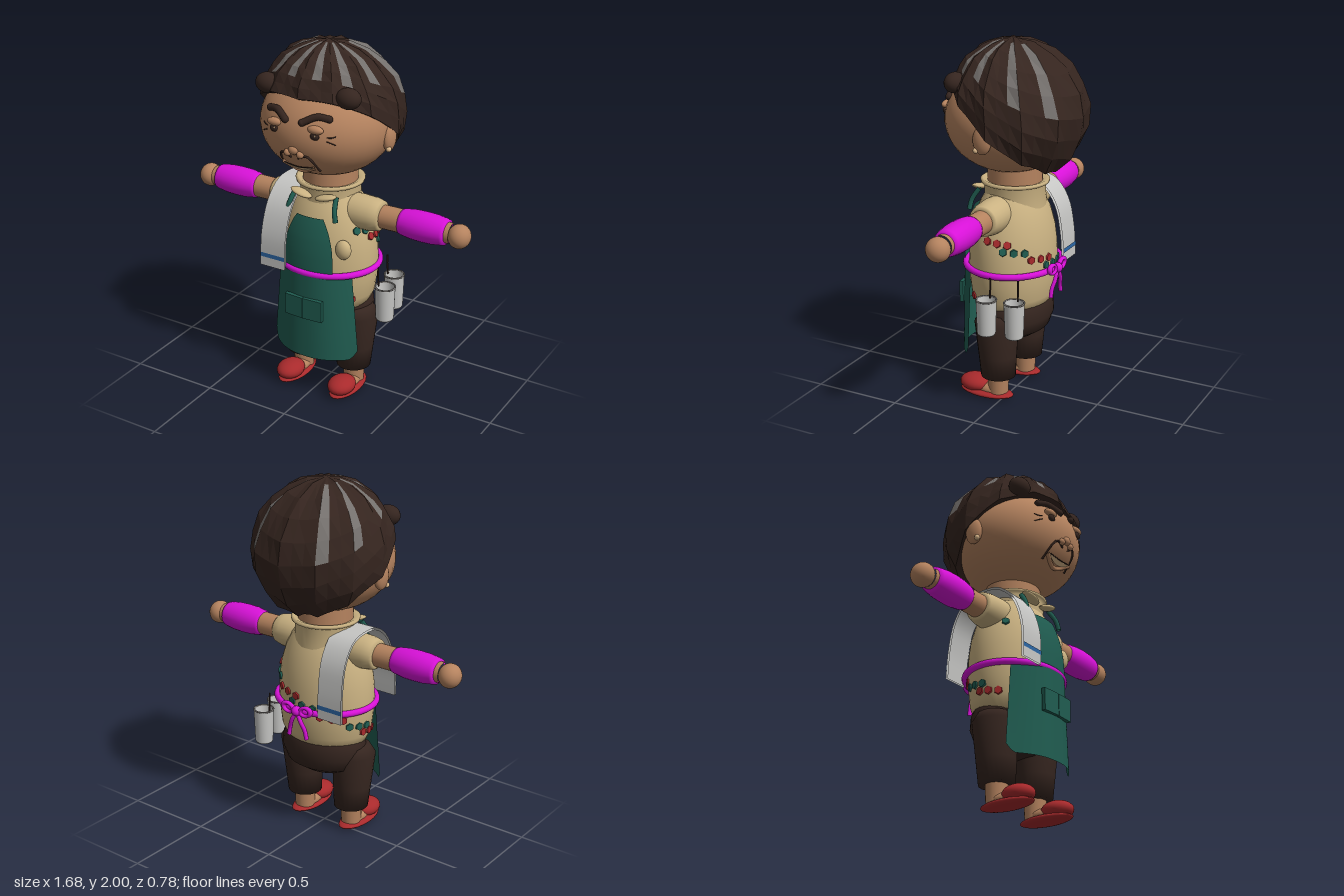
import * as THREE from 'three';

const mat = (name, color, side = THREE.FrontSide) => {
  const m = new THREE.MeshStandardMaterial({ color, side });
  m.name = name;
  return m;
};
const V = (x, y, z) => new THREE.Vector3(x, y, z);

// Torso radius by height, shared by shirt, bib and dots
const TORSO = [[0.23, 0.53], [0.262, 0.6], [0.275, 0.7], [0.28, 0.78], [0.275, 0.88], [0.262, 0.97], [0.235, 1.06], [0.2, 1.13], [0.165, 1.18]];
const DEPTH = 0.83, ZC = 0.02;
function torsoR(y) {
  for (let i = 1; i < TORSO.length; i++) {
    const [r0, y0] = TORSO[i - 1], [r1, y1] = TORSO[i];
    if (y <= y1) return r0 + (r1 - r0) * (y - y0) / (y1 - y0);
  }
  return 0.165;
}
const bodyZ = (x, y, out) => ZC + DEPTH * Math.sqrt(Math.max(0, (torsoR(y) + out) ** 2 - x * x));
const faceZ = (x, y, out = 0) => 0.03 + 0.355 * Math.sqrt(Math.max(0, 1 - (x / 0.36) ** 2 - ((y - 1.57) / 0.285) ** 2)) + out;

// Curved sheet from a rule f(u, v), u and v in 0..1
function sheet(f, nu, nv) {
  const g = new THREE.PlaneGeometry(1, 1, nu, nv), p = g.attributes.position;
  for (let i = 0; i < p.count; i++) p.setXYZ(i, ...f(p.getX(i) + 0.5, p.getY(i) + 0.5));
  g.computeVertexNormals();
  return g;
}

// Lumpy hair cap: rows run from the crown to a slanted hairline; some columns are grey
function hairGeometry() {
  const N = 36, ROWS = 8, greyCols = [1, 4, 7, 11, 14, 21, 24, 28, 31, 34];
  const point = (i, j) => {
    const a = (i % N) / N * Math.PI * 2;
    const B = 0.306 * Math.cos(a), c = 0.137 - 0.06 * Math.abs(Math.sin(a));
    const pMax = Math.acos(-c / Math.hypot(0.38, B)) - Math.atan2(B, 0.38);
    const p = pMax * Math.min(j / ROWS, 1);
    let k = 1 + Math.min(1, p * 1.5) * (0.025 * Math.cos(a * 12) + 0.014 * Math.sin((i % N) * 7.3 + j * 2.1));
    if (j > ROWS) k *= 0.86; // rim turned in to the head
    return [0.385 * k * Math.sin(p) * Math.sin(a), 1.62 + 0.38 * k * Math.cos(p), -0.02 + (0.36 * k * Math.sin(p)) * Math.cos(a) + 0.04 * Math.max(0, Math.cos(p))];
  };
  const dark = [], grey = [];
  for (let i = 0; i < N; i++) for (let j = 0; j <= ROWS; j++) {
    const a = point(i, j), b = point(i, j + 1), c = point(i + 1, j + 1), d = point(i + 1, j);
    const isGrey = greyCols.includes(i) && j > 0 && j < (i < 6 || i > 29 ? 6 : 5);
    (isGrey ? grey : dark).push(...a, ...b, ...c, ...a, ...c, ...d);
  }
  const g = new THREE.BufferGeometry();
  g.setAttribute('position', new THREE.Float32BufferAttribute([...dark, ...grey], 3));
  g.addGroup(0, dark.length / 3, 0);
  g.addGroup(dark.length / 3, grey.length / 3, 1);
  g.computeVertexNormals();
  return g;
}

export function createModel() {
  const root = new THREE.Group();
  root.name = 'figure';
  const D = THREE.DoubleSide;
  const skin = mat('skin', 0xb5835f), tan = mat('shirtTan', 0xcab282, D), teal = mat('apronTeal', 0x205d51, D);
  const dark = mat('darkBrown', 0x35251f, D), grey = mat('hairGrey', 0x74706d, D), pink = mat('magenta', 0xd812d8);
  const red = mat('red', 0xa82a2c), white = mat('paleGrey', 0xc6c6c4, D), blue = mat('blue', 0x2c66a4, D), cream = mat('cream', 0xdcb98c);

  const add = (name, geo, m, x = 0, y = 0, z = 0, parent = root) => {
    const mesh = new THREE.Mesh(geo, m);
    mesh.name = name;
    mesh.position.set(x, y, z);
    parent.add(mesh);
    return mesh;
  };
  const ball = (name, m, x, y, z, rx, ry = rx, rz = rx, seg = 20) => {
    const b = add(name, new THREE.SphereGeometry(1, seg, Math.ceil(seg * 0.7)), m, x, y, z);
    b.scale.set(rx, ry, rz);
    return b;
  };
  const lathe = (pts, seg = 32) => new THREE.LatheGeometry(pts.map(p => new THREE.Vector2(...p)), seg);
  const tube = (name, m, pts, r) =>
    add(name, new THREE.TubeGeometry(new THREE.CatmullRomCurve3(pts.map(p => V(...p))), 12, r, 8), m);
  const faceTube = (name, m, pts, r, out = 0) => tube(name, m, pts.map(([x, y]) => [x, y, faceZ(x, y, out)]), r);

  // Head and hair
  ball('head', skin, 0, 1.57, 0.03, 0.36, 0.285, 0.355, 40);
  add('neck', new THREE.CylinderGeometry(0.15, 0.15, 0.18, 28), skin, 0, 1.26, 0.01);
  add('hair', hairGeometry(), [dark, grey]);

  // Face
  ball('noseTip', skin, 0, 1.51, 0.37, 0.03, 0.025, 0.022);
  tube('smileLip', skin, [[-0.1, 1.415], [0, 1.37], [0.1, 1.415]].map(([x, y]) => [x, y, faceZ(x, y, 0.004)]), 0.012);
  add('teeth', sheet((u, v) => {
    const x = (u - 0.5) * 0.19, k = 1 - (2 * u - 1) ** 2, y = 1.415 - 0.012 * k - (1 - v) * 0.022 * k;
    return [x, y, faceZ(x, y, 0.012)];
  }, 16, 2), cream);
  faceTube('mouthLine', dark, [[-0.085, 1.413], [0, 1.404], [0.085, 1.413]], 0.003, 0.012);
  for (const s of [-1, 1]) {
    ball('hairBun', dark, s * 0.24, 1.785, 0.235, 0.068, 0.055, 0.055);
    ball('ear', skin, s * 0.355, 1.53, 0.015, 0.03, 0.075, 0.052);
    ball('earring', cream, s * 0.368, 1.478, 0.045, 0.015);
    const brow = faceTube('eyebrow', dark, [[s * 0.175, 1.688], [s * 0.12, 1.697], [s * 0.05, 1.665]], 0.019, 0.008);
    brow.renderOrder = 0;
    ball('browEnd', dark, s * 0.175, 1.688, faceZ(0.175, 1.688, 0.008), 0.019);
    ball('browEnd', dark, s * 0.05, 1.665, faceZ(0.05, 1.665, 0.008), 0.019);
    ball('eyelid', skin, s * 0.12, 1.635, faceZ(0.12, 1.635), 0.046, 0.022, 0.024);
    ball('eye', dark, s * 0.12, 1.603, faceZ(0.12, 1.603), 0.026, 0.02, 0.014);
    ball('eyeGlint', cream, s * 0.12 + 0.008, 1.609, faceZ(0.12, 1.609, 0.012), 0.005);
    ball('nostril', skin, s * 0.038, 1.49, faceZ(0.038, 1.49), 0.02);
    for (let k = 0; k < 2; k++)
      faceTube('eyeWrinkle', dark, [[s * 0.175, 1.6 - k * 0.02], [s * 0.195, 1.598 - k * 0.028], [s * 0.215, 1.604 - k * 0.045]], 0.003, 0.001);
    faceTube('moustache', dark, [[s * 0.02, 1.465], [s * 0.07, 1.485], [s * 0.092, 1.46], [s * 0.103, 1.385]], 0.006, 0.002);
  }

  // Shirt
  const shirt = add('shirt', lathe([[0.001, 0.52], ...TORSO], 40), tan, 0, 0, ZC);
  shirt.scale.z = DEPTH;
  add('collar', lathe([[0.17, 1.1], [0.165, 1.215], [0.185, 1.225], [0.188, 1.238], [0.175, 1.245], [0.15, 1.235]]), tan, 0, 0, 0.01);
  for (const s of [-1, 1]) {
    const flap = ball('collarFlap', tan, s * 0.075, 1.19, 0.185, 0.065, 0.016, 0.035);
    flap.rotation.z = s * 0.25;
  }
  ball('chestPocket', tan, 0.19, 0.92, 0.195, 0.045, 0.055, 0.035);

  // Dots around the sides and back of the shirt
  for (let i = 0; i < 26; i++) {
    const a = 0.95 + ((i * 0.618) % 1) * (Math.PI * 2 - 1.9), y = 0.61 + ((i * 0.377) % 1) * 0.44;
    const r = torsoR(y), x = r * Math.sin(a), z = ZC + r * DEPTH * Math.cos(a);
    const dot = add('shirtDot', new THREE.CylinderGeometry(0.022, 0.024, 0.016, 6).rotateX(Math.PI / 2), i % 2 ? teal : red, x, y, z);
    dot.lookAt(x + Math.sin(a) * DEPTH, y + (y > 0.9 ? 0.35 : 0), z + Math.cos(a));
  }

  // Arms, built along +x and turned round for the other side
  for (const s of [-1, 1]) {
    const arm = new THREE.Group();
    arm.name = s > 0 ? 'leftArm' : 'rightArm';
    arm.position.set(0, 1.085, 0.03);
    arm.rotation.y = s > 0 ? 0 : Math.PI;
    root.add(arm);
    const along = (name, pts, m) => add(name, lathe(pts, 24).rotateZ(-Math.PI / 2), m, 0, 0, 0, arm);
    along('sleeve', [[0.09, 0.1], [0.096, 0.2], [0.092, 0.28], [0.082, 0.325], [0.07, 0.338], [0.001, 0.338]], tan);
    along('arm', [[0.064, 0.3], [0.064, 0.46], [0.055, 0.74]], skin);
    along('sleeveCover', [[0.055, 0.445], [0.068, 0.45], [0.072, 0.465], [0.08, 0.52], [0.082, 0.58], [0.08, 0.64], [0.072, 0.695], [0.068, 0.71], [0.05, 0.715]], pink);
    add('hand', new THREE.SphereGeometry(0.065, 24, 16), skin, 0.78, -0.005, 0, arm).scale.x = 0.94;
  }

  // Trousers, ankles and shoes
  const seat = add('trouserSeat', lathe([[0.001, 0.34], [0.14, 0.355], [0.225, 0.4], [0.255, 0.47], [0.25, 0.535], [0.235, 0.565]]), dark, 0, 0, 0);
  seat.scale.z = 0.76;
  for (const s of [-1, 1]) {
    const leg = add('trouserLeg', lathe([[0.001, 0.14], [0.096, 0.14], [0.106, 0.27], [0.122, 0.47], [0.09, 0.52], [0.001, 0.53]], 24), dark, 0, 0, 0.03);
    const p = leg.geometry.attributes.position;
    for (let i = 0; i < p.count; i++) p.setX(i, p.getX(i) + s * (0.163 + (p.getY(i) - 0.14) * 0.05));
    add('ankle', new THREE.CylinderGeometry(0.062, 0.055, 0.15, 20), skin, s * 0.165, 0.1, 0.03);
    ball('foot', skin, s * 0.165, 0.05, 0.08, 0.055, 0.04, 0.1);
    ball('shoeToe', red, s * 0.168, 0.068, 0.17, 0.075, 0.05, 0.092);
    ball('shoeSole', red, s * 0.168, 0.026, 0.1, 0.077, 0.024, 0.162);
  }

  // Apron: skirt, bib, pockets and straps
  const skirtZ = u => 0.288 - 0.125 * Math.abs(u) ** 2.4;
  add('apronSkirt', sheet((a, v) => {
    const u = a * 2 - 1, low = 0.26 + 0.05 * Math.max(0, (Math.abs(u) - 0.85) / 0.15) ** 2;
    return [u * (0.265 - 0.04 * v), low + (0.765 - low) * v, skirtZ(u)];
  }, 32, 10), teal);
  add('apronBib', sheet((a, v) => {
    const y = 0.76 + 0.32 * v, x = (a * 2 - 1) * (0.152 - 0.07 * v ** 3);
    return [x, y, bodyZ(x, y, 0.028)];
  }, 16, 10), teal);
  for (const s of [-1, 1]) {
    add('apronPocket', new THREE.BoxGeometry(0.112, 0.122, 0.022), teal, s * 0.0575, 0.567, 0.292).rotation.y = s * 0.05;
    tube('apronStrap', teal, [[s * 0.15, 1.075, 0.21], [s * 0.138, 1.13, 0.2], [s * 0.125, 1.195, 0.16]], 0.014);
  }

  // Belt with a bow at the back
  const belt = add('belt', new THREE.TorusGeometry(0.283, 0.018, 12, 48).rotateX(Math.PI / 2), pink, 0, 0.768, ZC);
  belt.scale.z = 0.9;
  ball('bowKnot', pink, 0, 0.768, -0.248, 0.028);
  for (const s of [-1, 1]) {
    const loop = add('bowLoop', new THREE.TorusGeometry(0.034, 0.014, 10, 20), pink, s * 0.058, 0.775, -0.245);
    loop.scale.y = 0.7;
    loop.rotation.z = s * 0.25;
    tube('bowTail', pink, [[0, 0.765, -0.245], [s * 0.03, 0.71, -0.25], [s * 0.05, 0.66, -0.24], [s * 0.06, 0.612, -0.238]], 0.012);
  }

  // Towel over the right shoulder with a blue stripe at each end
  const drape = new THREE.CatmullRomCurve3([[0.285, 0.752], [0.275, 0.95], [0.215, 1.11], [0.12, 1.195], [0.02, 1.21], [-0.1, 1.185], [-0.18, 1.08], [-0.215, 0.92], [-0.225, 0.752]].map(([z, y]) => V(0, y, z)));
  const strip = (t0, t1, out) => sheet((u, v) => {
    const t = t0 + (t1 - t0) * v, p = drape.getPointAt(t), d = drape.getTangentAt(t);
    return [-0.28 + 0.155 * u + 0.01 * Math.sin(t * Math.PI), p.y - d.z * out, p.z + d.y * out];
  }, 4, 32);
  add('towel', strip(0, 1, 0), white);
  add('towelLining', strip(0, 1, -0.012), white);
  for (const t of [0.045, 0.935]) add('towelStripe', strip(t, t + 0.02, 0.004), blue);

  // Cups hanging from the belt
  for (const [x, z] of [[0.342, 0.005], [0.315, -0.148]]) {
    add('cup', lathe([[0.001, 0.46], [0.046, 0.46], [0.05, 0.47], [0.056, 0.65], [0.056, 0.66], [0.05, 0.66], [0.045, 0.48], [0.001, 0.478]], 24), white, x, 0, z);
    add('cupRim', new THREE.TorusGeometry(0.054, 0.005, 8, 24).rotateX(Math.PI / 2), grey, x, 0.657, z);
    tube('cupString', dark, [[x - 0.045, 0.765, z], [x - 0.045, 0.71, z], [x - 0.04, 0.65, z]], 0.005);
  }
  return root;
}
